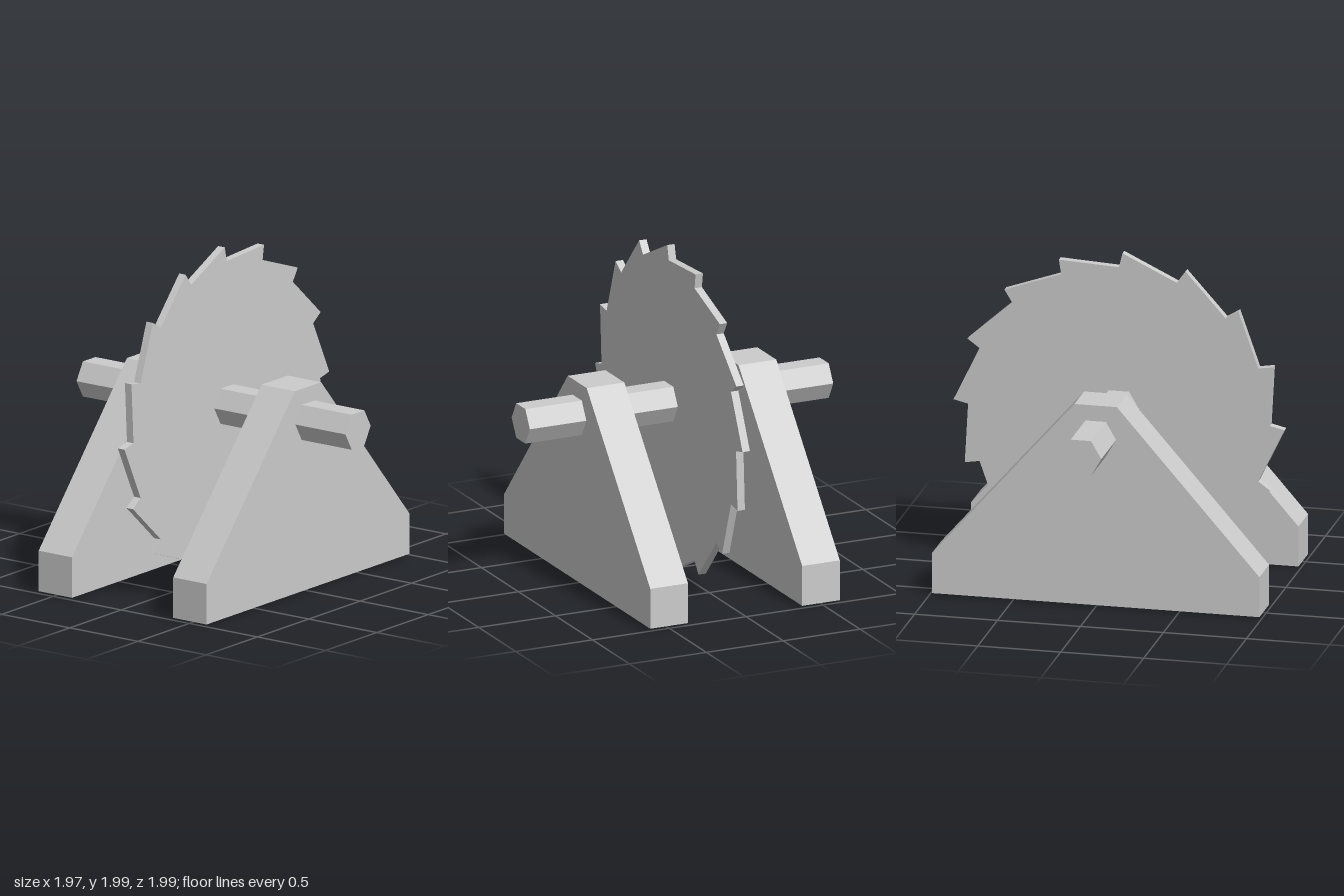
import * as THREE from 'three';

const material = new THREE.MeshStandardMaterial({
  color: 0xcccccc, flatShading: true, side: THREE.DoubleSide,
});

// Extrude a (z, y) outline along x, centred on x = 0
function plate(points, width) {
  const shape = new THREE.Shape(points.map(([z, y]) => new THREE.Vector2(z, y)));
  const geometry = new THREE.ExtrudeGeometry(shape, { depth: width, bevelEnabled: false });
  return geometry.translate(0, 0, -width / 2).rotateY(-Math.PI / 2);
}

// Remove the triangles lying in the plane y = level
function openBottom(geometry, level) {
  const p = geometry.getAttribute('position');
  const kept = [];
  for (let i = 0; i < p.count; i += 3) {
    const corners = [i, i + 1, i + 2];
    if (corners.every((c) => Math.abs(p.getY(c) - level) < 1e-4)) continue;
    for (const c of corners) kept.push(p.getX(c), p.getY(c), p.getZ(c));
  }
  const open = new THREE.BufferGeometry();
  open.setAttribute('position', new THREE.Float32BufferAttribute(kept, 3));
  open.computeVertexNormals();
  return open;
}

export function createModel() {
  const group = new THREE.Group();
  const add = (name, geometry, x = 0, y = 0) => {
    const mesh = new THREE.Mesh(geometry, material);
    mesh.name = name;
    mesh.position.set(x, y, 0);
    group.add(mesh);
  };

  // Toothed blade: each tooth rises slowly, then drops back sharply
  const teeth = 16;
  const outline = [];
  for (let i = 0; i < teeth; i++) {
    const valley = (i / teeth) * Math.PI * 2;
    const tip = valley - THREE.MathUtils.degToRad(1.2);
    outline.push([-0.997 * Math.sin(tip), 0.997 * Math.cos(tip)]);
    outline.push([-0.909 * Math.sin(valley), 0.909 * Math.cos(valley)]);
  }
  add('blade', plate(outline.reverse(), 0.048), -0.002, 1.003);

  // Hexagonal axle with an edge on top
  const axle = new THREE.CylinderGeometry(0.123, 0.123, 1.974, 6);
  axle.rotateY(Math.PI / 2).rotateZ(Math.PI / 2);
  // a corner of the hexagon must point straight up
  axle.rotateX(Math.PI / 2);
  add('axle', axle, -0.002, 1.043);

  // Two hollow trapezoid supports, open underneath
  const base = 0.016;
  const profile = [
    [-0.987, base], [0.987, base], [0.987, 0.262],
    [0.128, 1.246], [-0.128, 1.246], [-0.987, 0.262],
  ];
  const support = openBottom(plate(profile, 0.245), base);
  add('leftSupport', support, 0.495);
  add('rightSupport', support, -0.493);

  return group;
}
